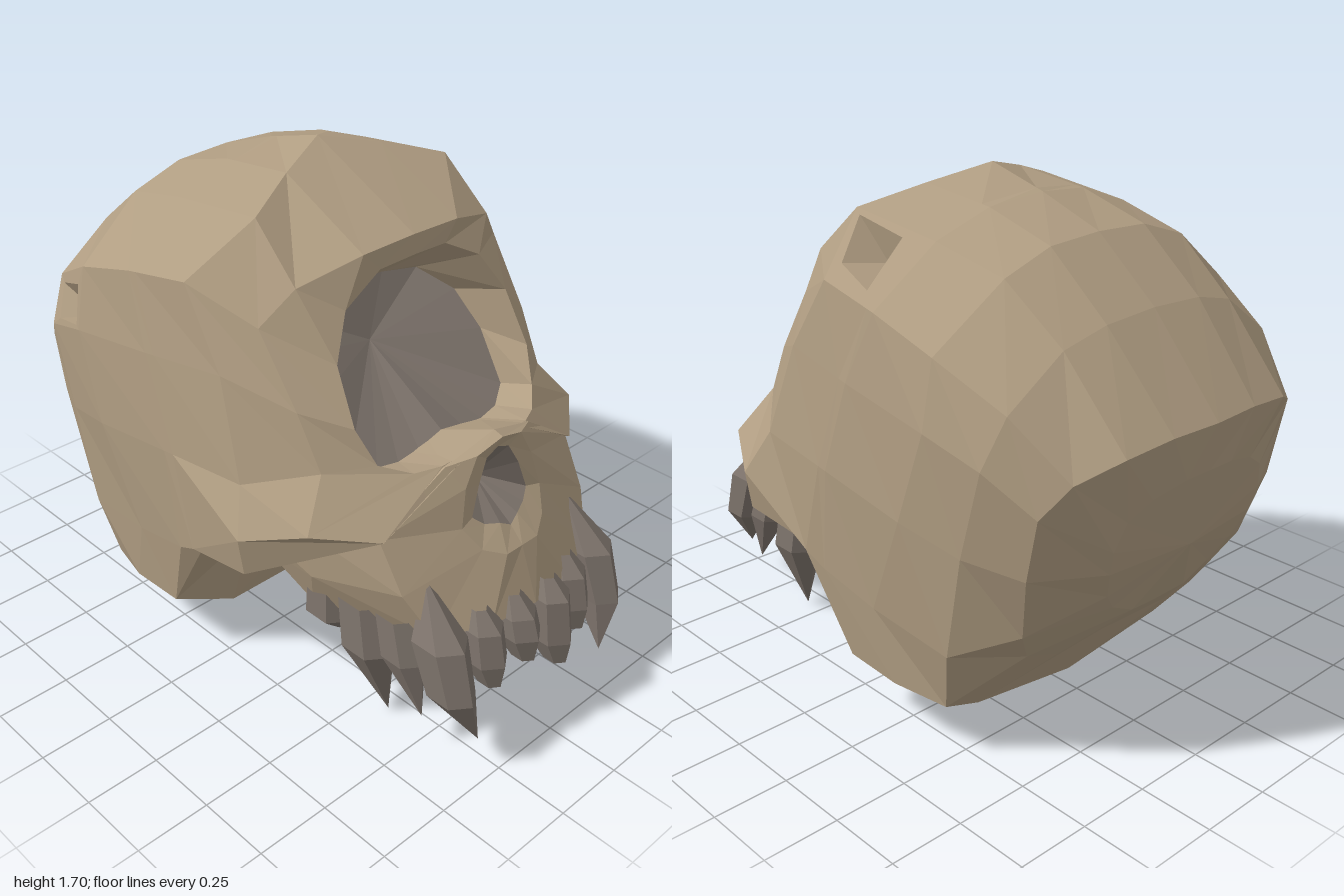
import * as THREE from 'three';

const bone = new THREE.MeshStandardMaterial({ color: 0xb09d82 });
bone.name = 'bone';
const grey = new THREE.MeshStandardMaterial({ color: 0x7e746c });
grey.name = 'greyTooth';

// Half outline (top, +x side, bottom) mirrored into a closed ring
function ring(half) {
  const right = half.map(p => new THREE.Vector3(...p));
  const left = right.slice(1, -1).reverse().map(p => new THREE.Vector3(-p.x, p.y, p.z));
  return [...right, ...left];
}
const pole = (like, x, y, z) => like.map(() => new THREE.Vector3(x, y, z));

// Faceted skin through rings; chips are [row, column] cells with a dent
function loft(rings, chips = []) {
  const pos = [];
  const tri = (a, b, c) => {
    const area = b.clone().sub(a).cross(c.clone().sub(a)).length();
    if (area > 1e-7) for (const p of [a, b, c]) pos.push(p.x, p.y, p.z);
  };
  const quad = (a, b, c, d) => { tri(a, b, c); tri(a, c, d); };
  const weights = [.45, .2, .1, .25];
  for (let i = 0; i < rings.length - 1; i++) {
    const n = rings[i].length;
    for (let j = 0; j < n; j++) {
      const k = (j + 1) % n;
      const cell = [rings[i][j], rings[i][k], rings[i + 1][k], rings[i + 1][j]];
      const chip = chips.find(c => c[0] === i && c[1] === j);
      if (!chip) { quad(...cell); continue; }
      const mid = new THREE.Vector3();
      cell.forEach((p, m) => mid.addScaledVector(p, weights[m]));
      const rim = cell.map((p, m) => p.clone().lerp(mid, 0.25 + 0.15 * (m % 2)));
      const pit = mid.clone().lerp(new THREE.Vector3(0, 0.9, -0.2), 0.13);
      for (let m = 0; m < 4; m++) {
        const q = (m + 1) % 4;
        quad(cell[m], cell[q], rim[q], rim[m]);
        tri(rim[m], rim[q], pit);
      }
    }
  }
  const g = new THREE.BufferGeometry();
  g.setAttribute('position', new THREE.Float32BufferAttribute(pos, 3));
  g.computeVertexNormals();
  return g;
}

// Six-sided tooth through [x, y, z, radius] sections, root to tip
function tooth(sections, side) {
  return loft(sections.map(([x, y, z, r]) => Array.from({ length: 6 }, (_, i) => {
    const t = -i * Math.PI / 3;
    return new THREE.Vector3(side * x + r * Math.sin(t), y, z + 1.25 * r * Math.cos(t));
  })));
}

export function createModel() {
  const group = new THREE.Group();
  const add = (name, geometry, material) => {
    const m = new THREE.Mesh(geometry, material);
    m.name = name;
    group.add(m);
  };

  // Cranium rings, from the single eye rim outward and around to the back
  const eyeRim = ring([[0, 1.44, .35], [.14, 1.43, .34], [.29, 1.35, .35], [.37, 1.22, .4], [.385, 1.05, .49],
    [.35, .94, .55], [.27, .91, .62], [.19, .92, .66], [.1, .94, .68], [0, .97, .70]]);
  const face = ring([[0, 1.5, .34], [.2, 1.49, .33], [.41, 1.43, .27], [.51, 1.32, .22], [.5, 1.1, .37],
    [.49, .93, .46], [.6, .79, .52], [.43, .76, .66], [.16, .92, .69], [0, .97, .72]]);
  const templeHalf = [[0, 1.7, -.08], [.2, 1.65, 0], [.4, 1.59, .09], [.6, 1.42, 0], [.61, 1.18, .16],
    [.64, .87, .27], [.705, .73, .33], [.685, .6, .33], [.56, .57, .33], [0, .55, .2]];
  const earHalf = [[0, 1.64, -.3], [.2, 1.62, -.28], [.4, 1.55, -.27], [.62, 1.38, -.25], [.65, 1.15, -.15],
    [.67, .85, -.06], [.66, .5, -.02], [.63, .22, -.11], [.45, .17, -.03], [0, .17, -.03]];
  // Cheek arch ring: upper part follows the skull, lower part tucks under it
  const archLow = [[.67, .54, .06], [.62, .52, .05], [.43, .48, .05], [0, .45, .05]];
  const archHalf = earHalf.map((p, i) => i < 6 ? p.map((v, k) => v + (templeHalf[i][k] - v) * .12) : archLow[i - 6]);
  const temple = ring(templeHalf), arch = ring(archHalf), ear = ring(earHalf);
  const crown = ring([[0, 1.56, -.53], [.2, 1.55, -.53], [.38, 1.49, -.53], [.62, 1.31, -.5], [.66, 1.1, -.5],
    [.67, .8, -.4], [.65, .45, -.25], [.63, .21, -.32], [.46, .13, -.25], [0, .11, -.25]]);
  const rear = ring([[0, 1.38, -.75], [.2, 1.37, -.75], [.36, 1.33, -.74], [.56, 1.19, -.73], [.63, 1.04, -.7],
    [.63, .75, -.62], [.62, .4, -.55], [.58, .19, -.5], [.42, .12, -.47], [0, .06, -.46]]);
  const nape = ring([[0, 1.1, -1], [.18, 1.1, -.99], [.35, 1.08, -.97], [.48, 1.02, -.9], [.55, .92, -.84],
    [.55, .72, -.8], [.5, .5, -.74], [.42, .38, -.68], [.25, .3, -.64], [0, .27, -.6]]);
  const back = ring([[0, .95, -.98], [.1, .95, -.98], [.22, .92, -.96], [.3, .87, -.94], [.33, .78, -.92],
    [.32, .7, -.9], [.28, .6, -.86], [.22, .53, -.83], [.12, .48, -.82], [0, .45, -.79]]);
  add('cranium', loft([eyeRim, face, temple, arch, ear, crown, rear, nape, back, pole(back, 0, .7, -.93)],
    [[2, 2], [5, 14]]), bone);

  // Eye socket: bone walls closing on a tilted grey dish
  const dish = ring([[0, 1.25, .08], [.13, 1.25, .08], [.27, 1.23, .1], [.35, 1.16, .2], [.365, 1.05, .31],
    [.34, .9, .43], [.27, .86, .47], [.19, .85, .48], [.1, .86, .48], [0, .88, .49]]);
  add('socketWall', loft([dish, eyeRim]), bone);
  add('eyeSocket', loft([pole(dish, 0, 1.08, .16), dish]), grey);

  // Upper jaw, from the nose rim outward and back to the palate
  const noseRim = ring([[0, .93, .71], [.05, .91, .71], [.09, .84, .72], [.125, .74, .73],
    [.09, .71, .75], [.04, .7, .77], [0, .68, .78]]);
  const noseEdge = ring([[0, .97, .725], [.1, .94, .715], [.15, .85, .72], [.18, .73, .74],
    [.14, .66, .79], [.07, .63, .83], [0, .63, .83]]);
  const gum = ring([[0, .98, .69], [.19, .92, .67], [.43, .76, .64], [.42, .6, .73],
    [.36, .46, .81], [.18, .45, .88], [0, .45, .9]]);
  const jaw = ring([[0, .85, .4], [.25, .8, .4], [.48, .68, .35], [.46, .5, .38],
    [.4, .34, .32], [.25, .36, .7], [0, .36, .76]]);
  const jawBack = ring([[0, .65, .08], [.3, .6, .08], [.45, .55, .08], [.42, .45, .1],
    [.35, .34, .13], [.2, .34, .13], [0, .34, .13]]);
  add('upperJaw', loft([noseRim, noseEdge, gum, jaw, jawBack, pole(jawBack, 0, .5, .08)]), bone);
  add('noseCavity', loft([pole(noseRim, 0, .79, .62), noseRim]), grey);

  // Teeth, front to back on each side
  const incisor = (x, z, tip) => [[x, .51, z - .02, .03], [x, .45, z, .065], [x, tip + .1, z + .02, .068],
    [x, tip + .02, z + .05, .035], [x, tip, z + .05, 0]];
  const teeth = {
    outerIncisor: incisor(.2, .85, .24),
    fang: [[.33, .61, .74, .01], [.35, .46, .82, .08], [.355, .29, .88, .07], [.3, .12, .95, 0]],
    sideTooth: [[.37, .48, .66, .06], [.375, .34, .7, .065], [.37, .14, .78, 0]],
    longTooth: [[.36, .45, .51, .075], [.365, .28, .54, .08], [.31, 0, .58, 0]],
    molar: [[.36, .42, .36, .07], [.36, .31, .36, .075], [.34, .23, .38, 0]],
  };
  for (const [name, sections] of Object.entries(teeth))
    for (const side of [1, -1]) add(name + (side > 0 ? 'Left' : 'Right'), tooth(sections, side), grey);
  add('innerIncisorLeft', tooth(incisor(.07, .89, .2), 1), grey);
  add('innerIncisorRight', tooth(incisor(.07, .87, .28), -1), grey);

  return group;
}
